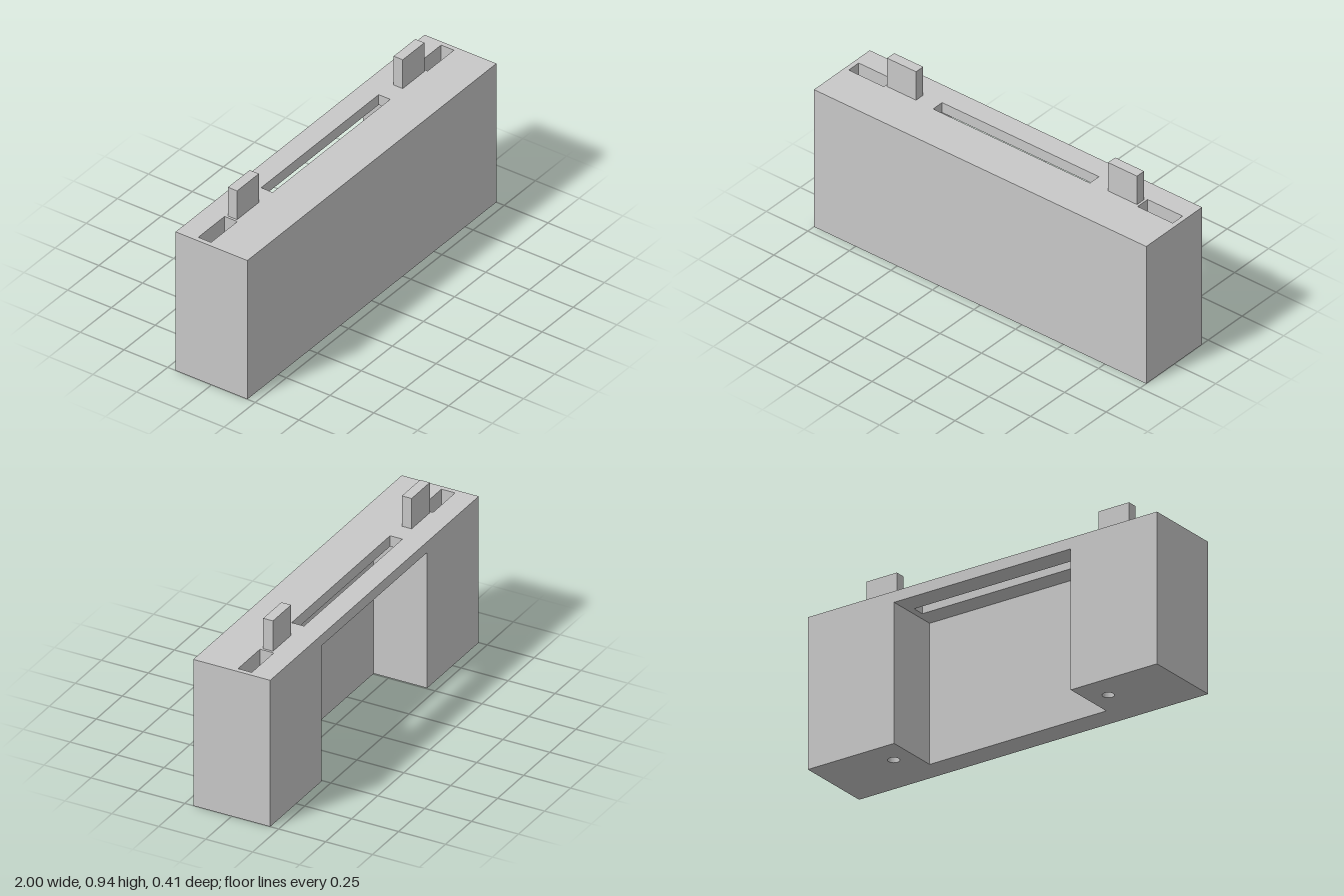
import * as THREE from 'three';
import { mergeGeometries } from 'three/addons/utils/BufferGeometryUtils.js';

const H = 0.782, D = 0.205;                    // block height, half depth
const NX = 0.506, NZ = 0.08, NY = 0.725;       // rear recess: half width, back wall, ceiling
const ZC = -0.056;                             // centre line of slots, tabs and bores

// rectangle and circle loops as [x, z], wound so that walls() faces inward
const rect = (x0, x1, z0, z1) => [[x1, z1], [x0, z1], [x0, z0], [x1, z0]];
const circle = (x, z, r, n = 32) => Array.from({ length: n }, (_, i) => {
  const a = (i / n) * Math.PI * 2;
  return [x + r * Math.cos(a), z + r * Math.sin(a)];
});

// upright quads along a path of [x, z]
function walls(path, y0, y1, closed = true) {
  const pos = [];
  const count = closed ? path.length : path.length - 1;
  for (let i = 0; i < count; i++) {
    const [ax, az] = path[i], [bx, bz] = path[(i + 1) % path.length];
    pos.push(ax, y0, az, bx, y0, bz, bx, y1, bz, ax, y0, az, bx, y1, bz, ax, y1, az);
  }
  const g = new THREE.BufferGeometry();
  g.setAttribute('position', new THREE.Float32BufferAttribute(pos, 3));
  g.computeVertexNormals();
  return g;
}

// horizontal face with holes, facing up or down
function level(outline, y, up, holes = []) {
  const s = up ? -1 : 1;
  const pts = (loop) => loop.map(([x, z]) => new THREE.Vector2(x, s * z));
  const shape = new THREE.Shape(pts(outline));
  shape.holes = holes.map((h) => new THREE.Path(pts(h)));
  return new THREE.ShapeGeometry(shape).rotateX(s * Math.PI / 2).translate(0, y, 0);
}

function join(parts) {
  return mergeGeometries(parts.map((p) => {
    const g = p.index ? p.toNonIndexed() : p;
    g.deleteAttribute('uv');
    return g;
  }));
}

export function createModel() {
  const model = new THREE.Group();
  model.name = 'slottedBlock';
  const grey = new THREE.MeshStandardMaterial({ color: 0xc8c8c8 });
  grey.name = 'lightGrey';
  const add = (name, geometry) => {
    const mesh = new THREE.Mesh(geometry, grey);
    mesh.name = name;
    model.add(mesh);
    return mesh;
  };

  const slot = rect(-0.472, 0.472, ZC - 0.036, ZC + 0.03);
  const pockets = [rect(-0.975, -0.764, ZC - 0.037, ZC + 0.036), rect(0.764, 0.975, ZC - 0.037, ZC + 0.036)];
  const bores = [-0.615, 0.615].map((x) => circle(x, ZC, 0.029));

  // outer shell: front and ends, arched back, top and U-shaped underside
  const outer = [[-1, -D], [-1, D], [1, D], [1, -D]];
  const recess = [[NX, -D], [NX, NZ], [-NX, NZ], [-NX, -D]];
  const arch = new THREE.Shape([[-1, 0], [-NX, 0], [-NX, NY], [NX, NY], [NX, 0], [1, 0], [1, H], [-1, H]]
    .map(([x, y]) => new THREE.Vector2(x, y)));
  add('body', join([
    walls(outer, 0, H, false),
    new THREE.ShapeGeometry(arch).rotateY(Math.PI).translate(0, 0, -D),
    level(outer, H, true, [slot, ...pockets]),
    level([...outer, ...recess], 0, false, bores),
  ]));

  // rear recess, open into the long slot above
  add('rearRecess', join([walls(recess, 0, NY, false), level(recess, NY, false, [slot])]));
  add('longSlot', walls(slot, NY, H));

  // blind end pockets in the top
  for (const p of pockets) add('endPocket', join([walls(p, H - 0.2, H), level(p, H - 0.2, true)]));

  // blind round bores in the underside
  for (const b of bores) add('bore', join([walls(b, 0, 0.2), level(b, 0.2, false)]));

  // upright tabs beside the pockets
  for (const side of [-1, 1]) {
    add('tab', new THREE.BoxGeometry(0.174, 0.162, 0.052)).position.set(side * 0.665, H + 0.081, ZC);
  }
  return model;
}
